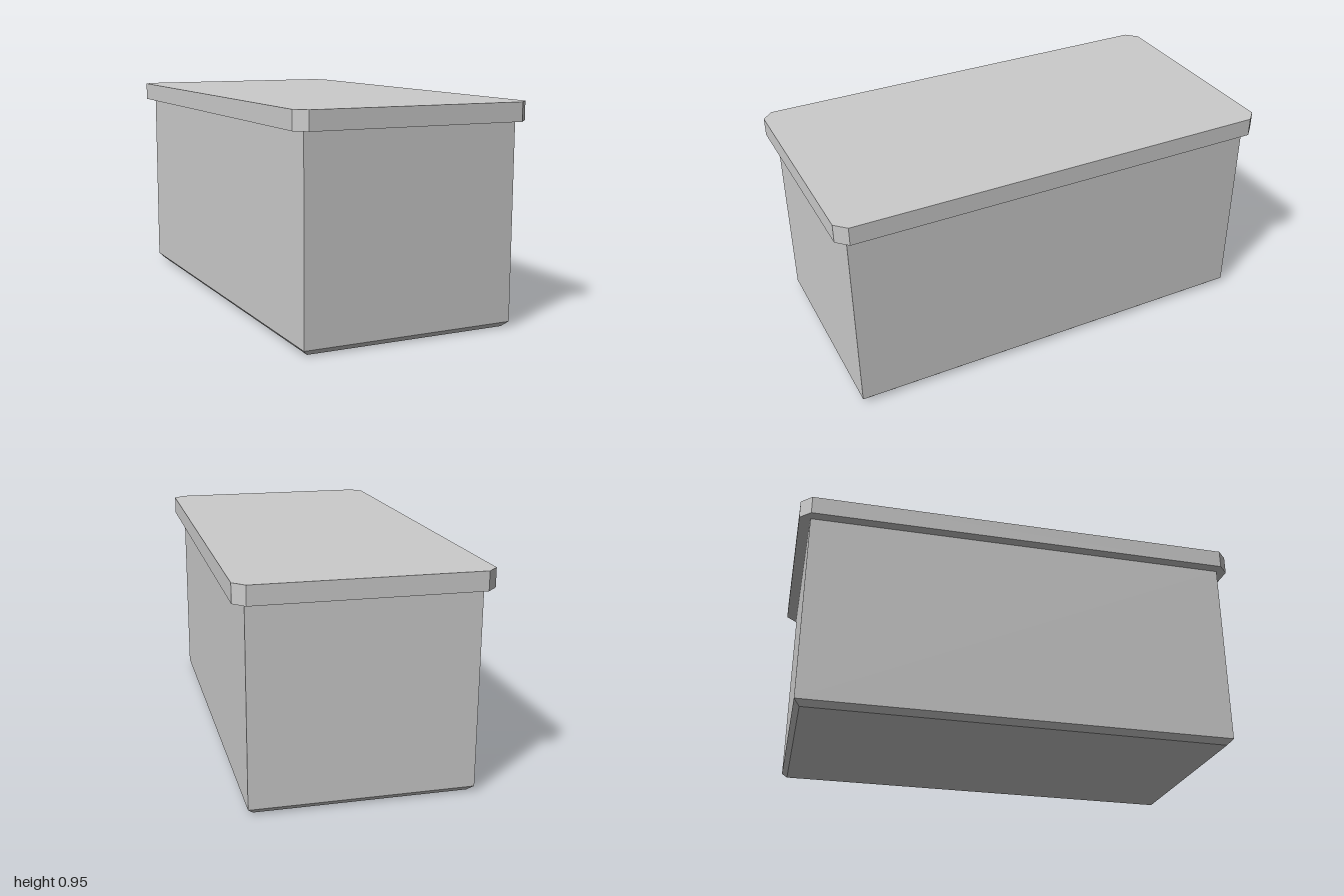
import * as THREE from 'three';

const W = 0.475, D = 0.952;      // body half width and half depth
const RIM = 0.048;               // lid overhang and corner cut
const BEVEL = 0.024;             // bevel round the foot
const LID_Y = 0.871, TOP = 0.952;

export function createModel() {
  const group = new THREE.Group();
  const material = new THREE.MeshStandardMaterial({ color: 0xcccccc, flatShading: true });

  const add = (name, geometry) => {
    const mesh = new THREE.Mesh(geometry, material);
    mesh.name = name;
    group.add(mesh);
  };

  // Main box, running up to the underside of the lid
  const bodyHeight = LID_Y - BEVEL;
  add('body', new THREE.BoxGeometry(W * 2, bodyHeight, D * 2)
    .translate(0, BEVEL + bodyHeight / 2, 0));

  // Foot: a thin slab whose lower corners are drawn inwards
  const foot = new THREE.BoxGeometry(W * 2, BEVEL, D * 2).translate(0, BEVEL / 2, 0);
  const p = foot.attributes.position;
  for (let i = 0; i < p.count; i++) {
    if (p.getY(i) < BEVEL / 2) {
      p.setX(i, Math.sign(p.getX(i)) * (W - BEVEL));
      p.setZ(i, Math.sign(p.getZ(i)) * (D - BEVEL));
    }
  }
  foot.computeVertexNormals();
  add('bevelledFoot', foot);

  // Overhanging lid with cut corners
  const X = W + RIM, Z = D + RIM;
  const outline = new THREE.Shape([
    [X, -D], [X, D], [W, Z], [-W, Z], [-X, D], [-X, -D], [-W, -Z], [W, -Z],
  ].map(([x, z]) => new THREE.Vector2(x, z)));
  add('lid', new THREE.ExtrudeGeometry(outline, { depth: TOP - LID_Y, bevelEnabled: false })
    .rotateX(-Math.PI / 2)
    .translate(0, LID_Y, 0));

  return group;
}
